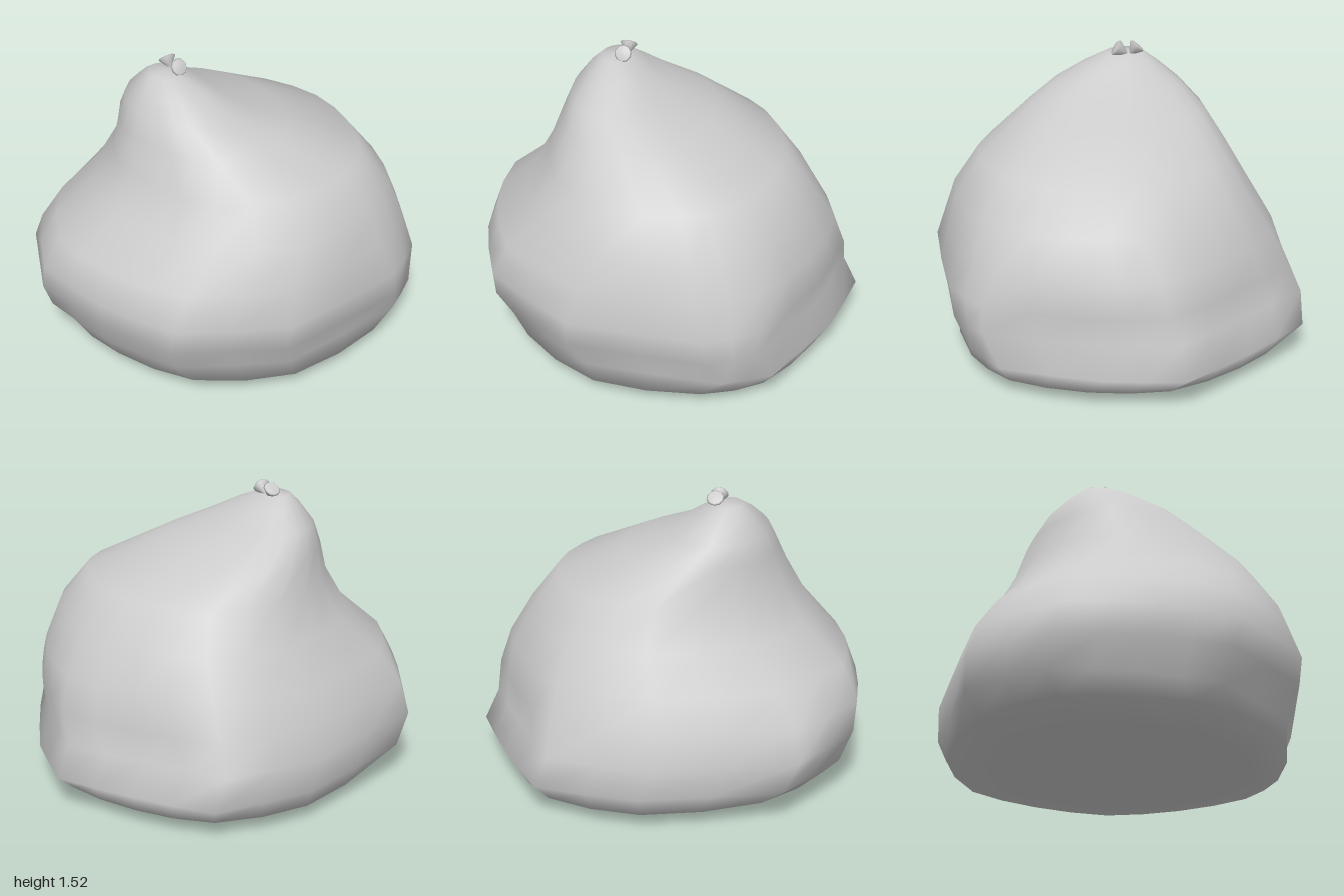
import * as THREE from 'three';

// Plan outlines scaled to the unit square, clockwise from the back:
// the angular belly near the ground, and the rounder upper cloth
const BELLY = [
  [-0.08, -1], [0.47, -0.99], [0.75, -0.59], [1, -0.2], [0.93, 0.25], [0.72, 0.83], [0.5, 0.97],
  [-0.25, 1], [-0.76, 0.66], [-0.92, 0.23], [-1, -0.25], [-0.79, -0.72],
];
const UPPER = [
  [-0.08, -0.99], [0.48, -0.91], [0.81, -0.58], [1, -0.12], [0.95, 0.35], [0.75, 0.74], [0.4, 0.95],
  [-0.2, 1], [-0.71, 0.71], [-0.95, 0.24], [-0.99, -0.22], [-0.69, -0.68],
];
const SIDES = 24;

// Cross-sections from the ground up: y, xMin, xMax, zMin, zMax, share of the upper outline
const RINGS = [
  [0.025, -0.63, 0.62, -0.6, 0.64, 1],
  [0.08, -0.85, 0.9, -0.89, 0.84, 0.8],
  [0.18, -0.93, 1.0, -0.93, 0.84, 0.15],
  [0.34, -0.99, 0.93, -0.92, 0.91, 0],
  [0.49, -1.0, 0.93, -0.87, 0.93, 0.3],
  [0.66, -0.92, 0.88, -0.81, 0.88, 0.7],
  [0.85, -0.71, 0.77, -0.7, 0.83, 0.9],
  [1.04, -0.6, 0.62, -0.59, 0.7, 1],
  [1.21, -0.54, 0.25, -0.48, 0.46, 1],
  [1.31, -0.5, 0.0, -0.38, 0.3, 1],
  [1.4, -0.43, -0.13, -0.27, 0.13, 1],
  [1.455, -0.37, -0.23, -0.19, 0.0, 1],
];

function sackGeometry() {
  const curve = (pts) => pts.map(([u, v]) => new THREE.Vector3(u, 0, v));
  const smooth = new THREE.CatmullRomCurve3(curve(UPPER), true);
  const sharp = new THREE.CurvePath();
  const corners = curve(BELLY);
  const pos = [];
  const index = [];
  corners.forEach((p, i) => sharp.add(new THREE.LineCurve3(p, corners[(i + 1) % corners.length])));

  RINGS.forEach(([y, x0, x1, z0, z1, mix], k) => {
    for (let i = 0; i < SIDES; i++) {
      // Same corner on both outlines, then blended
      const t = (i * corners.length) / SIDES;
      const p = sharp.curves[Math.floor(t)].getPoint(t % 1).lerp(smooth.getPoint(i / SIDES), mix);
      // The underside sags a little towards one side
      const sag = k === 0 ? 0.02 * p.x : 0;
      pos.push((x0 + x1) / 2 + p.x * (x1 - x0) / 2, y + sag, (z0 + z1) / 2 + p.z * (z1 - z0) / 2);
    }
  });
  // Cap centres
  const bottom = pos.length / 3;
  pos.push(-0.05, 0.02, 0, -0.29, 1.46, -0.1);
  const last = (RINGS.length - 1) * SIDES;
  for (let i = 0; i < SIDES; i++) {
    const j = (i + 1) % SIDES;
    for (let k = 0; k < RINGS.length - 1; k++) {
      const a = k * SIDES + i, b = k * SIDES + j;
      index.push(a, a + SIDES, b, b, a + SIDES, b + SIDES);
    }
    index.push(bottom, i, j, bottom + 1, last + j, last + i);
  }
  const geo = new THREE.BufferGeometry();
  geo.setAttribute('position', new THREE.Float32BufferAttribute(pos, 3));
  geo.setIndex(index);
  geo.computeVertexNormals();
  return geo;
}

// Flared cloth end: a small cone opening from its pinched tip
function tieEnd(name, tip, mouth, radius, material) {
  const axis = mouth.clone().sub(tip);
  const profile = [[0, 0], [0.5, 0.45], [0.95, 0.9], [0.8, 1], [0, 1.03]]
    .map(([r, h]) => new THREE.Vector2(r * radius, h * axis.length()));
  const mesh = new THREE.Mesh(new THREE.LatheGeometry(profile, 10), material);
  mesh.name = name;
  mesh.position.copy(tip);
  mesh.quaternion.setFromUnitVectors(new THREE.Vector3(0, 1, 0), axis.normalize());
  return mesh;
}

export function createModel() {
  const group = new THREE.Group();
  group.name = 'tiedSack';
  const material = new THREE.MeshStandardMaterial({ color: 0xcccccc, side: THREE.DoubleSide });

  const body = new THREE.Mesh(sackGeometry(), material);
  body.name = 'sackBody';
  group.add(body);

  // Knot on the peak, with two ends pointing forwards and backwards
  const at = (y, z) => new THREE.Vector3(-0.245, y, z);
  const knot = new THREE.Group();
  knot.name = 'knot';
  knot.add(
    tieEnd('frontTieEnd', at(1.445, -0.108), at(1.49, -0.037), 0.047, material),
    tieEnd('backTieEnd', at(1.445, -0.112), at(1.497, -0.155), 0.047, material),
  );
  group.add(knot);
  return group;
}
